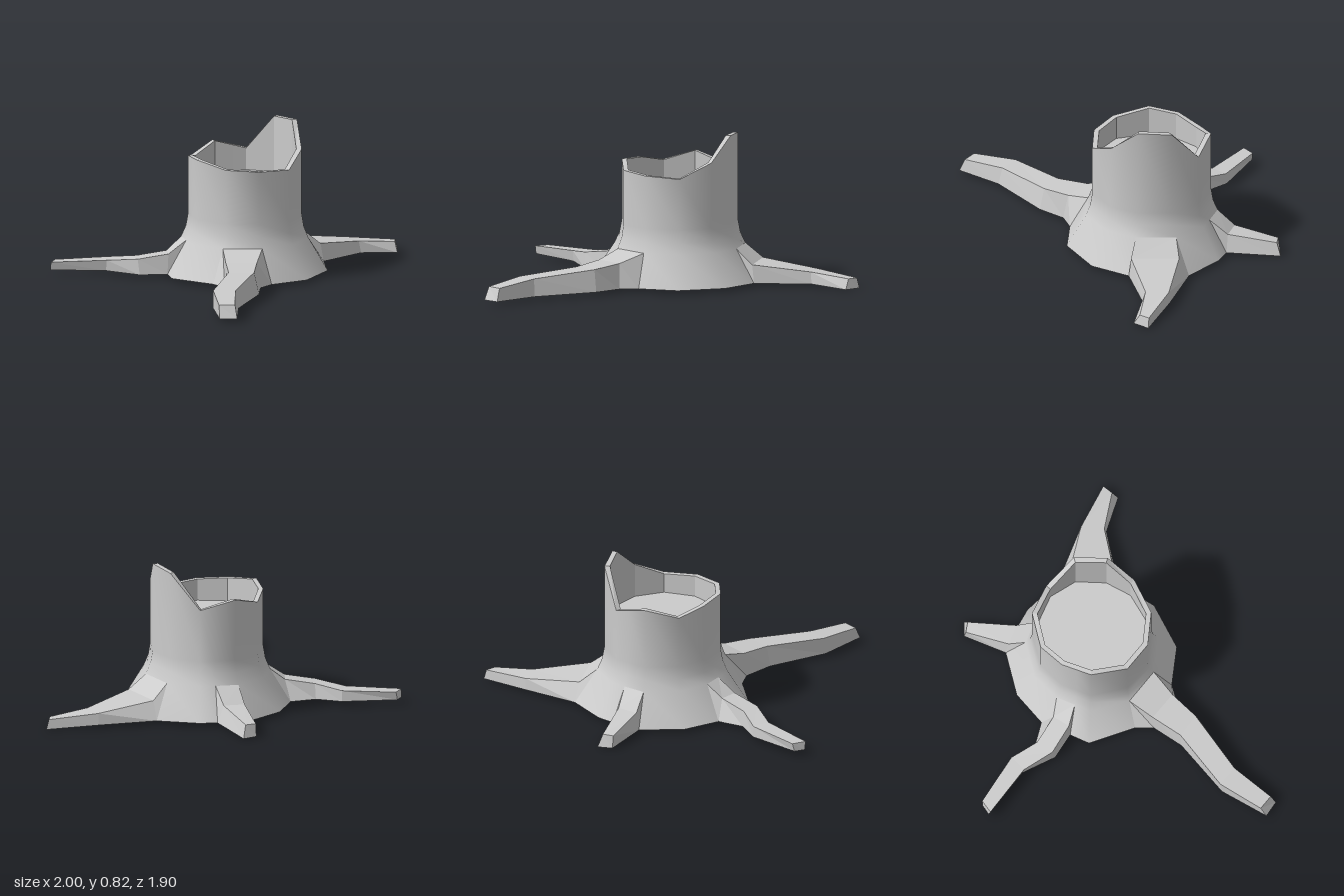
import * as THREE from 'three';

const smooth = new THREE.MeshStandardMaterial({ color: 0xcccccc, side: THREE.DoubleSide });
const flat = new THREE.MeshStandardMaterial({ color: 0xcccccc, side: THREE.DoubleSide, flatShading: true });

// Trunk corners: [x, z, rim height, skirt x, skirt z], clockwise seen from above
const corners = [
  [-0.04, -0.55, 0.67, -0.07, -0.69],
  [0.07, -0.533, 0.641, 0.10, -0.665],
  [0.15, -0.52, 0.62, 0.20, -0.64],
  [0.28, -0.40, 0.81, 0.40, -0.52],
  [0.32, -0.22, 0.82, 0.47, -0.20],
  [0.28, -0.06, 0.69, 0.40, 0.02],
  [0.15, 0.07, 0.61, 0.20, 0.20],
  [-0.04, 0.10, 0.62, -0.02, 0.23],
  [-0.205, 0.03, 0.63, -0.31, 0.10],
  [-0.30, -0.15, 0.66, -0.46, -0.12],
  [-0.29, -0.235, 0.655, -0.44, -0.23],
  [-0.28, -0.32, 0.65, -0.41, -0.40],
  [-0.20, -0.46, 0.62, -0.29, -0.57],
];
const FLOOR = 0.5, CENTRE_Z = -0.225, INNER = 0.91;
const SKIRT_TOP = 0.2, SKIRT_BOTTOM = 0.02;
// Skirt panels left open, where the roots grow out
const ROOT_PANELS = { back: 0, left: 3, front: 7, right: 10 };

const innerRing = (height) => corners.map((c) => [
  c[0] * INNER, height(c), CENTRE_Z + (c[1] - CENTRE_Z) * INNER,
]);

// Ring of the outer wall at height y, spread t of the way from trunk to skirt
const ring = (y, t) => corners.map((c) => [
  THREE.MathUtils.lerp(c[0], c[3], t), y, THREE.MathUtils.lerp(c[1], c[4], t),
]);
const skirtTop = ring(SKIRT_TOP, 0.25);
const skirtBottom = ring(SKIRT_BOTTOM, 1);

// Skin a list of equal-length cross-sections; closed wraps each section round,
// holes lists the panels to leave out of the last strip
function loft(name, sections, closed, material, holes = []) {
  const n = sections[0].length, last = sections.length - 2, index = [];
  for (let r = 0; r <= last; r++) {
    for (let i = 0; i < (closed ? n : n - 1); i++) {
      if (r === last && holes.includes(i)) continue;
      const j = (i + 1) % n;
      const a = r * n + i, b = r * n + j, c = a + n, d = b + n;
      index.push(a, b, c, b, d, c);
    }
  }
  const g = new THREE.BufferGeometry();
  g.setAttribute('position', new THREE.Float32BufferAttribute(sections.flat(2), 3));
  g.setIndex(index);
  g.computeVertexNormals();
  const mesh = new THREE.Mesh(g, material);
  mesh.name = name;
  return mesh;
}

// Root channel growing from a skirt panel through stations
// [leftTop, rightTop, leftBottom, rightBottom], each [x, z], followed by the
// top and bottom heights; open below, capped at the tip
function root(name, panel, stations) {
  const p = panel, q = panel + 1;
  const sections = [
    [skirtBottom[q], skirtTop[q], skirtTop[p], skirtBottom[p]],
    ...stations.map(([lt, rt, lb, rb, top, bottom]) => [
      [lb[0], bottom, lb[1]], [lt[0], top, lt[1]],
      [rt[0], top, rt[1]], [rb[0], bottom, rb[1]],
    ]),
  ];
  const [a, b, c, d] = sections[sections.length - 1];
  const group = new THREE.Group();
  group.name = name;
  group.add(loft(name + 'Sides', sections, false, flat));
  group.add(loft(name + 'Tip', [[a, d], [b, c]], false, flat));
  return group;
}

export function createModel() {
  const model = new THREE.Group();
  model.name = 'treeStump';

  // Outer bark with flared skirt, open underneath
  const rim = corners.map((c) => [c[0], c[2], c[1]]);
  model.add(loft('bark', [
    rim, ring(0.33, 0), ring(0.26, 0.08), skirtTop, skirtBottom,
  ], true, smooth, Object.values(ROOT_PANELS)));

  // Broken rim, hollow wall and floor of the hollow
  const innerRim = innerRing((c) => c[2]);
  const innerFoot = innerRing(() => FLOOR);
  const middle = corners.map(() => [0, FLOOR, CENTRE_Z]);
  model.add(loft('rim', [innerRim, rim], true, flat));
  model.add(loft('hollowWall', [innerFoot, innerRim], true, flat));
  model.add(loft('hollowFloor', [middle, innerFoot], true, flat));

  // Long front root
  model.add(root('frontRoot', ROOT_PANELS.front, [
    [[-0.275, 0.19], [-0.12, 0.26], [-0.285, 0.20], [-0.11, 0.285], 0.157, 0.02],
    [[-0.33, 0.36], [-0.20, 0.41], [-0.345, 0.37], [-0.18, 0.43], 0.14, 0.02],
    [[-0.54, 0.64], [-0.43, 0.69], [-0.545, 0.65], [-0.42, 0.71], 0.115, 0.02],
    [[-0.61, 0.885], [-0.53, 0.92], [-0.62, 0.92], [-0.53, 0.95], 0.09, 0.02],
  ]));

  // Broad root on the left
  model.add(root('leftRoot', ROOT_PANELS.left, [
    [[0.455, -0.21], [0.40, -0.465], [0.47, -0.20], [0.40, -0.52], 0.12, 0.02],
    [[0.74, -0.35], [0.72, -0.475], [0.75, -0.34], [0.72, -0.48], 0.08, 0.015],
    [[0.96, -0.365], [0.985, -0.42], [0.96, -0.33], [1.0, -0.42], 0.055, 0],
  ]));

  // Short back root
  model.add(root('backRoot', ROOT_PANELS.back, [
    [[0.065, -0.665], [-0.05, -0.68], [0.10, -0.665], [-0.07, -0.69], 0.115, 0.02],
    [[0.03, -0.93], [-0.03, -0.925], [0.05, -0.955], [-0.03, -0.935], 0.075, 0.005],
  ]));

  // Bent thin root on the right
  model.add(root('rightRoot', ROOT_PANELS.right, [
    [[-0.40, -0.335], [-0.43, -0.24], [-0.41, -0.40], [-0.44, -0.23], 0.13, 0.02],
    [[-0.555, -0.385], [-0.59, -0.29], [-0.555, -0.40], [-0.585, -0.275], 0.105, 0.02],
    [[-0.67, -0.50], [-0.72, -0.415], [-0.67, -0.505], [-0.72, -0.425], 0.085, 0.025],
    [[-0.95, -0.59], [-1.0, -0.53], [-0.96, -0.585], [-1.0, -0.54], 0.075, 0.03],
  ]));

  return model;
}
